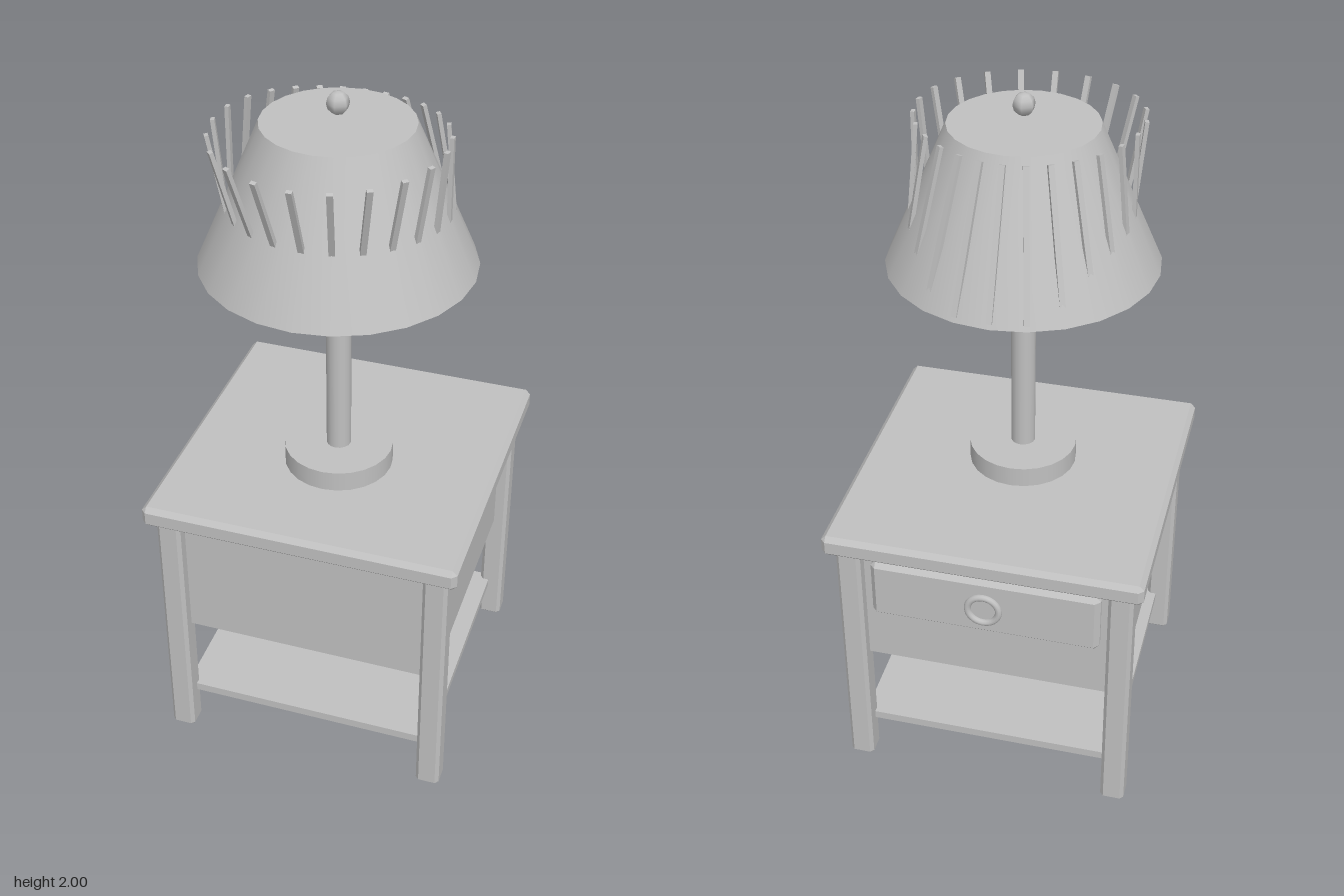
import * as THREE from 'three';
import { ConvexGeometry } from 'three/addons/geometries/ConvexGeometry.js';

// Box with all edges cut at 45 degrees by c
function chamferBox(w, h, d, c) {
  const points = [];
  for (const sx of [-1, 1]) for (const sy of [-1, 1]) for (const sz of [-1, 1]) {
    const x = w / 2, y = h / 2, z = d / 2;
    points.push(
      new THREE.Vector3(sx * x, sy * (y - c), sz * (z - c)),
      new THREE.Vector3(sx * (x - c), sy * y, sz * (z - c)),
      new THREE.Vector3(sx * (x - c), sy * (y - c), sz * z));
  }
  return new ConvexGeometry(points);
}

export function createModel() {
  const grey = new THREE.MeshStandardMaterial({ color: 0xc0c0c0 });
  grey.name = 'plain grey';

  const model = new THREE.Group();
  model.name = 'nightstandWithLamp';
  const table = new THREE.Group();
  table.name = 'nightstand';
  const lamp = new THREE.Group();
  lamp.name = 'lamp';
  lamp.position.z = 0.06;
  model.add(table, lamp);

  const add = (parent, name, geometry, x, y, z) => {
    const mesh = new THREE.Mesh(geometry, grey);
    mesh.name = name;
    mesh.position.set(x, y, z);
    parent.add(mesh);
    return mesh;
  };

  // Table top, legs, drawer case and lower shelf
  add(table, 'tableTop', chamferBox(0.906, 0.065, 0.906, 0.014), 0, 0.8295, 0);
  const legGeometry = chamferBox(0.07, 0.8, 0.07, 0.01);
  for (const sx of [-1, 1]) for (const sz of [-1, 1]) {
    add(table, 'leg', legGeometry, sx * 0.388, 0.4, sz * 0.388);
  }
  add(table, 'drawerCase', new THREE.BoxGeometry(0.77, 0.4, 0.77), 0, 0.6, 0);
  add(table, 'shelf', new THREE.BoxGeometry(0.76, 0.025, 0.76), 0, 0.1325, 0);

  // Drawer with ring pull at the back
  add(table, 'drawerFront', chamferBox(0.66, 0.19, 0.05, 0.015), 0, 0.665, -0.385);
  add(table, 'ringPull', new THREE.TorusGeometry(0.045, 0.01, 10, 28), 0, 0.66, -0.412);

  // Lamp foot, post, shade and finial
  add(lamp, 'lampFoot', new THREE.CylinderGeometry(0.155, 0.155, 0.06, 24), 0, 0.892, 0);
  add(lamp, 'lampPost', new THREE.CylinderGeometry(0.035, 0.035, 0.61, 16), 0, 1.22, 0);
  add(lamp, 'shade', new THREE.CylinderGeometry(0.202, 0.375, 0.4, 24), 0, 1.72, 0);
  add(lamp, 'finial', new THREE.SphereGeometry(0.031, 6, 6), 0, 1.97, 0).rotation.y = Math.PI / 2;

  // Slats around the shade: lean out at the front, lie along it at the back
  const slatGeometry = new THREE.BoxGeometry(0.016, 0.4, 0.011);
  for (let i = 0; i < 24; i++) {
    const a = (i / 24) * Math.PI * 2;
    const slat = add(lamp, 'slat', slatGeometry, 0.297 * Math.sin(a), 1.72, 0.297 * Math.cos(a));
    slat.rotation.order = 'YXZ';
    slat.rotation.set(0.37 * Math.cos(a), a, 0);
  }
  return model;
}
